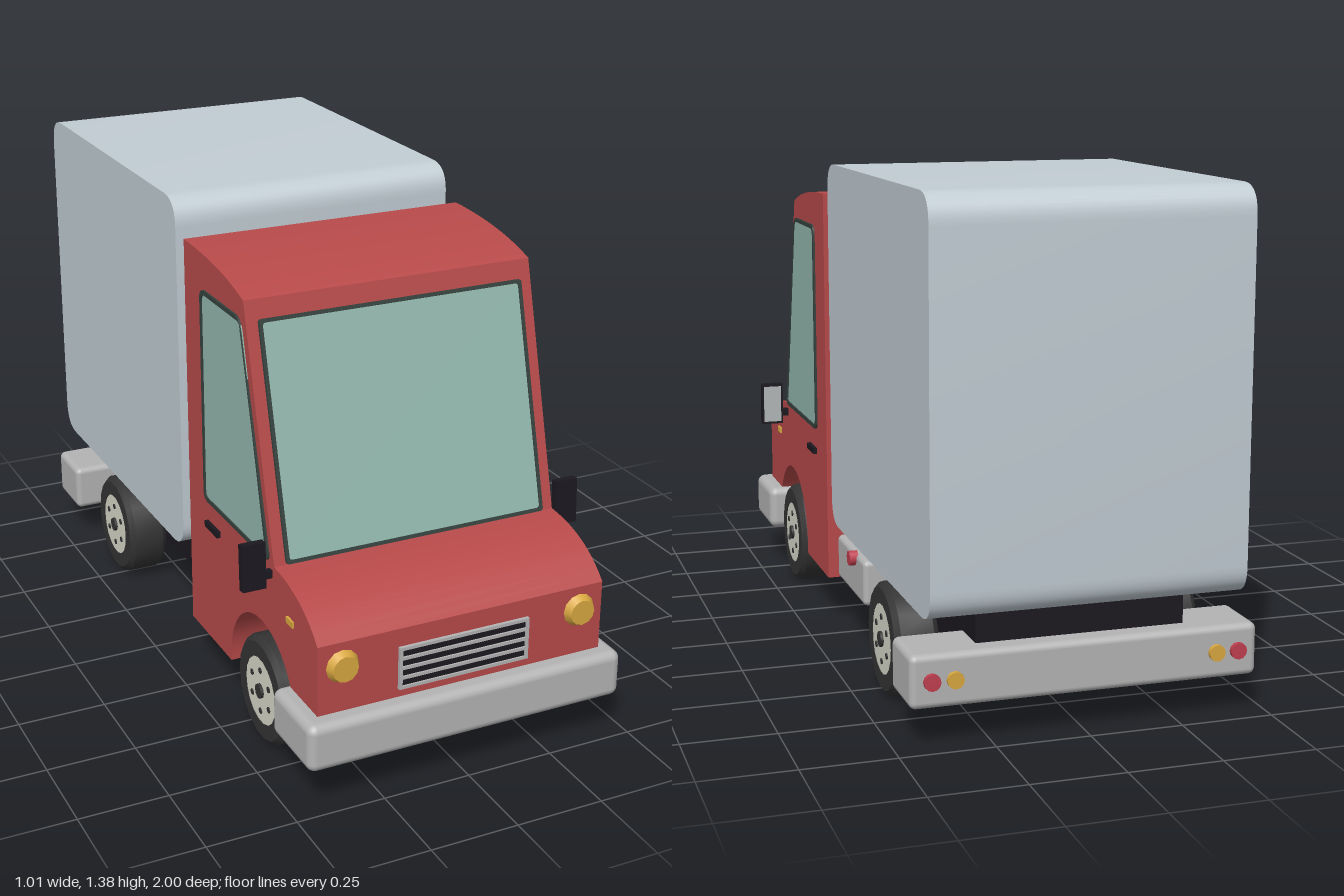
import * as THREE from 'three';
import { toCreasedNormals } from 'three/addons/utils/BufferGeometryUtils.js';
import { RoundedBoxGeometry } from 'three/addons/geometries/RoundedBoxGeometry.js';

const mat = (color) => new THREE.MeshStandardMaterial({ color });
const M = {
  red: mat(0xb84a4a), cargo: mat(0xc2cdd4), glass: mat(0x93b8ae), trim: mat(0x35423e),
  black: mat(0x1c1820), tyre: mat(0x343434), chrome: mat(0xb4b4b4), rim: mat(0xd9dacb),
  amber: mat(0xd9a840), lampRed: mat(0xc03f4f), mirror: mat(0xb8bcbc),
};

function add(parent, name, geometry, material, x = 0, y = 0, z = 0) {
  const mesh = new THREE.Mesh(geometry, material);
  mesh.name = name;
  mesh.position.set(x, y, z);
  parent.add(mesh);
  return mesh;
}

const box = (w, h, d) => new THREE.BoxGeometry(w, h, d);

// Cylinder lying along x or z
function disc(r, length, sides, axis, r2 = r) {
  const g = new THREE.CylinderGeometry(r2, r, length, sides);
  return axis === 'x' ? g.rotateZ(-Math.PI / 2) : g.rotateX(Math.PI / 2);
}

// Extrude a (z, y) outline across the width, centred on x = 0
function across(shape, width) {
  const g = new THREE.ExtrudeGeometry(shape, { depth: width, bevelEnabled: false, curveSegments: 10 });
  g.translate(0, 0, -width / 2).rotateY(-Math.PI / 2);
  return toCreasedNormals(g, 0.4);
}

// Polygon with rounded corners
function rounded(points, r) {
  const s = new THREE.Shape();
  const v = points.map((p) => new THREE.Vector2(...p));
  v.forEach((p, i) => {
    const toward = (q) => p.clone().add(q.clone().sub(p).setLength(r));
    const a = toward(v[(i + v.length - 1) % v.length]);
    const b = toward(v[(i + 1) % v.length]);
    if (i === 0) s.moveTo(a.x, a.y); else s.lineTo(a.x, a.y);
    s.quadraticCurveTo(p.x, p.y, b.x, b.y);
  });
  s.closePath();
  return s;
}

function buildCab() {
  const cab = new THREE.Group();
  cab.name = 'cab';

  // Body shell with wheel arches
  const s = new THREE.Shape();
  s.moveTo(0.95, 0.14);
  s.lineTo(0.95, 0.46);
  s.quadraticCurveTo(0.86, 0.56, 0.69, 0.565);
  s.lineTo(0.51, 1.235);
  s.quadraticCurveTo(0.36, 1.285, 0.11, 1.287);
  s.lineTo(0.11, 0.14);
  s.lineTo(0.395, 0.14);
  s.absarc(0.605, 0.16, 0.21, Math.PI, 0, true);
  s.lineTo(0.815, 0.14);
  add(cab, 'cabBody', across(s, 0.84), M.red);
  add(cab, 'innerArches', box(0.56, 0.3, 0.46), M.red, 0, 0.291, 0.605);

  // Windscreen on the slope
  const screen = new THREE.Group();
  screen.name = 'windscreen';
  screen.position.set(0, 0.875, 0.607);
  screen.rotation.x = -Math.atan2(0.18, 0.67);
  cab.add(screen);
  const rim = rounded([[-0.387, -0.32], [0.387, -0.32], [0.387, 0.32], [-0.387, 0.32]], 0.01);
  rim.holes.push(rounded([[-0.377, -0.31], [0.377, -0.31], [0.377, 0.31], [-0.377, 0.31]], 0.01));
  add(screen, 'windscreenFrame', new THREE.ExtrudeGeometry(rim, { depth: 0.012, bevelEnabled: false }), M.trim, 0, 0, -0.004);
  add(screen, 'windscreenGlass', box(0.76, 0.625, 0.01), M.glass);

  // Side windows: one strip across the cab shows on both doors
  const outer = rounded([[0.668, 0.568], [0.492, 1.185], [0.228, 1.185], [0.228, 0.568]], 0.03);
  const inner = rounded([[0.65, 0.58], [0.5, 1.173], [0.239, 1.173], [0.239, 0.58]], 0.025);
  outer.holes.push(inner);
  add(cab, 'sideWindowFrames', across(outer, 0.852), M.trim);
  add(cab, 'sideWindowGlass', across(inner, 0.845), M.glass);

  // Grille
  add(cab, 'grilleBack', box(0.37, 0.115, 0.008), M.black, 0, 0.348, 0.951);
  for (let i = 0; i < 5; i++) add(cab, 'grilleBar', box(0.38, 0.009, 0.016), M.chrome, 0, 0.292 + i * 0.028, 0.952);
  for (const x of [-0.187, 0.187]) add(cab, 'grilleSide', box(0.009, 0.121, 0.016), M.chrome, x, 0.348, 0.952);

  for (const side of [-1, 1]) {
    add(cab, 'headlight', disc(0.049, 0.025, 12, 'z', 0.036), M.amber, side * 0.35, 0.392, 0.958);
    add(cab, 'sideIndicator', box(0.012, 0.018, 0.038), M.amber, side * 0.42, 0.456, 0.793);
    add(cab, 'doorHandle', box(0.022, 0.018, 0.088), M.black, side * 0.42, 0.5, 0.288);
    // Door mirror
    const mirror = new THREE.Group();
    mirror.name = 'doorMirror';
    mirror.position.set(side * 0.472, 0.57, 0.67);
    mirror.rotation.x = -0.04;
    cab.add(mirror);
    add(mirror, 'mirrorHousing', box(0.067, 0.13, 0.022), M.black);
    add(mirror, 'mirrorGlass', box(0.055, 0.115, 0.004), M.mirror, 0, 0, -0.011);
    add(mirror, 'mirrorArm', box(0.06, 0.022, 0.018), M.black, -side * 0.035, -0.03, 0);
  }
  return cab;
}

function buildWheel() {
  const wheel = new THREE.Group();
  // Tyre cross-section as (radius, height), spun about the axle
  const profile = [[0.09, -0.055], [0.14, -0.06], [0.155, -0.045], [0.155, 0.045], [0.14, 0.06], [0.097, 0.06], [0.092, 0.045]]
    .map((p) => new THREE.Vector2(...p));
  const tyre = toCreasedNormals(new THREE.LatheGeometry(profile, 18).rotateZ(-Math.PI / 2), 0.5);
  add(wheel, 'tyre', tyre, M.tyre);
  add(wheel, 'wheelBack', disc(0.092, 0.01, 18, 'x'), M.tyre, -0.05);
  add(wheel, 'rim', disc(0.096, 0.02, 18, 'x'), M.rim, 0.049);
  add(wheel, 'hubCap', disc(0.021, 0.016, 10, 'x'), M.tyre, 0.059);
  for (let i = 0; i < 6; i++) {
    const a = (i / 6) * Math.PI * 2 + Math.PI / 6;
    add(wheel, 'wheelBolt', disc(0.009, 0.008, 8, 'x'), M.tyre, 0.058, Math.sin(a) * 0.062, Math.cos(a) * 0.062);
  }
  return wheel;
}

export function createModel() {
  const truck = new THREE.Group();
  truck.name = 'boxTruck';
  truck.add(buildCab());

  // Cargo box with rounded long edges
  const outline = rounded([[0.05, 0.33], [0.05, 1.38], [-1, 1.38], [-1, 0.33]], 0.08);
  add(truck, 'cargoBox', across(outline, 0.84), M.cargo);

  // Chassis
  add(truck, 'chassis', box(0.56, 0.22, 1.03), M.black, 0, 0.222, -0.403);

  // Bumpers
  add(truck, 'frontBumper', new RoundedBoxGeometry(0.93, 0.135, 0.235, 3, 0.025), M.chrome, 0, 0.195, 0.8825);
  add(truck, 'rearBumper', new RoundedBoxGeometry(0.93, 0.14, 0.18, 3, 0.018), M.chrome, 0, 0.178, -0.885);
  for (const side of [-1, 1]) {
    add(truck, 'tailLight', disc(0.022, 0.02, 12, 'z'), M.lampRed, side * 0.41, 0.18, -0.977);
    add(truck, 'rearIndicator', disc(0.022, 0.02, 12, 'z'), M.amber, side * 0.35, 0.18, -0.977);
  }

  // Fuel tank on the left side
  add(truck, 'fuelTank', new RoundedBoxGeometry(0.15, 0.13, 0.32, 3, 0.015), M.chrome, 0.33, 0.225, -0.11);
  add(truck, 'fuelCap', disc(0.022, 0.025, 8, 'x'), M.lampRed, 0.411, 0.275, -0.165);

  // Axles and wheels
  for (const [name, z] of [['front', 0.605], ['rear', -0.542]]) {
    add(truck, name + 'Axle', disc(0.025, 0.66, 10, 'x'), M.black, 0, 0.155, z);
    for (const side of [-1, 1]) {
      const wheel = buildWheel();
      wheel.name = name + 'Wheel';
      wheel.position.set(side * 0.365, 0.155, z);
      if (side < 0) wheel.rotation.y = Math.PI;
      truck.add(wheel);
    }
  }
  return truck;
}
